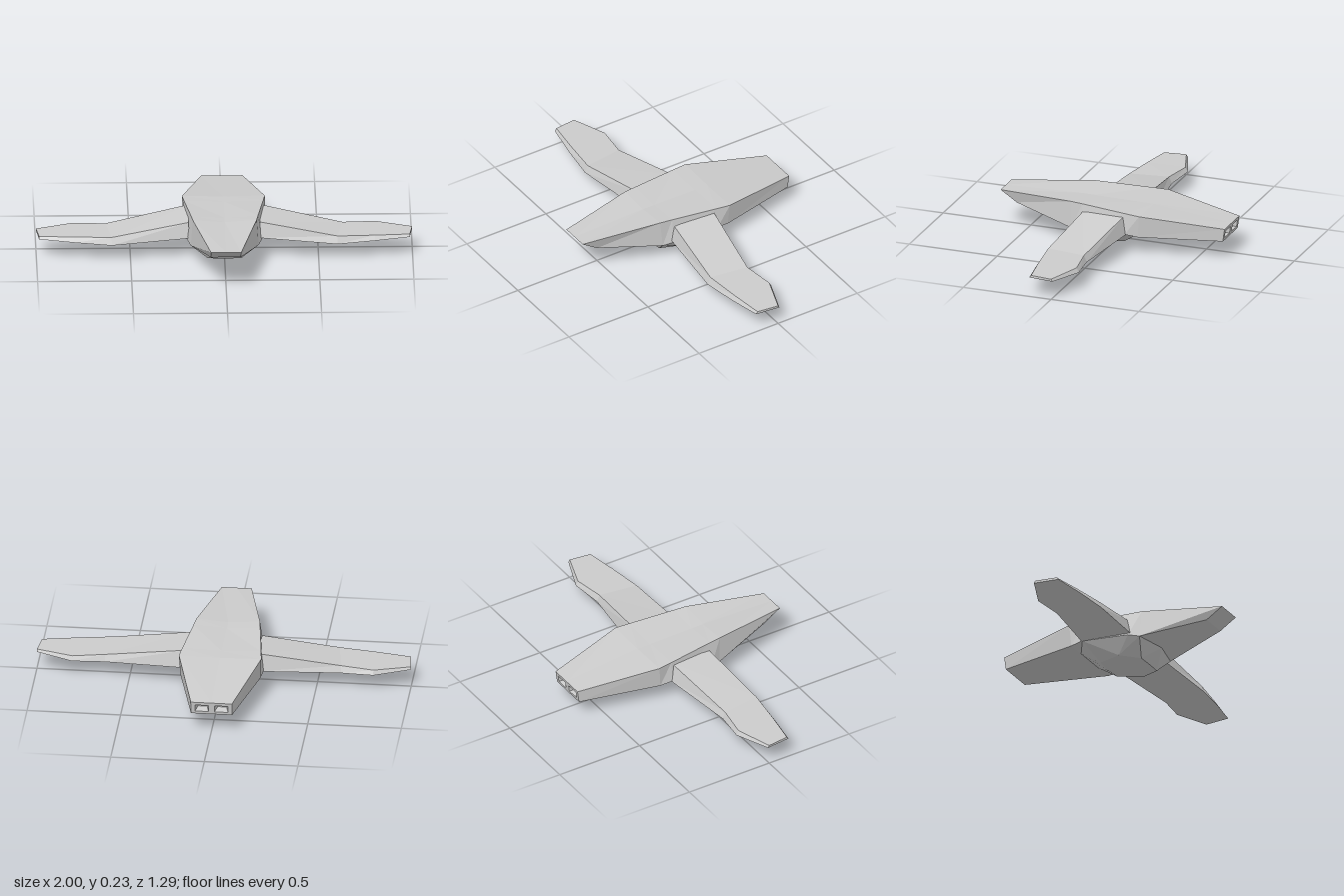
import * as THREE from 'three';
import { ConvexGeometry } from 'three/addons/geometries/ConvexGeometry.js';

const grey = new THREE.MeshStandardMaterial({ color: 0xcccccc, flatShading: true });
const greyDouble = new THREE.MeshStandardMaterial({ color: 0xcccccc, flatShading: true, side: THREE.DoubleSide });

const flipX = ([x, y, z]) => [-x, y, z];

// Flat-shaded skin over rings of [x, y, z] points, with optional end caps
function loft(rings, capStart, capEnd) {
  const pos = [];
  const tri = (a, b, c) => pos.push(...a, ...b, ...c);
  const n = rings[0].length;
  for (let i = 0; i < rings.length - 1; i++) {
    for (let j = 0; j < n; j++) {
      const k = (j + 1) % n;
      const [p, q, r, t] = [rings[i][j], rings[i][k], rings[i + 1][k], rings[i + 1][j]];
      tri(p, q, t);
      tri(q, r, t);
    }
  }
  const first = rings[0], last = rings[rings.length - 1];
  for (let j = 1; j < n - 1; j++) {
    if (capStart) tri(first[0], first[j + 1], first[j]);
    if (capEnd) tri(last[0], last[j], last[j + 1]);
  }
  const geo = new THREE.BufferGeometry();
  geo.setAttribute('position', new THREE.Float32BufferAttribute(pos, 3));
  geo.computeVertexNormals();
  return geo;
}

function addMesh(parent, name, geo, material = grey) {
  const mesh = new THREE.Mesh(geo, material);
  mesh.name = name;
  parent.add(mesh);
  return mesh;
}

// Stern plane leans slightly: z depends on height
const sternZ = (y) => -0.645 + ((0.17 - y) / 0.07) * 0.01;

const rect = (x0, x1, y0, y1, Type) =>
  new Type([[x0, y0], [x1, y0], [x1, y1], [x0, y1]].map((p) => new THREE.Vector2(...p)));

export function createModel() {
  const model = new THREE.Group();
  model.name = 'glider';

  // Fuselage: half sections (top centre, shoulder, lower edge, bottom centre), nose to stern
  const halves = [
    [[0, 0.21, 0.642], [0.08, 0.21, 0.642], [0.08, 0.15, 0.55], [0, 0.15, 0.55]],
    [[0, 0.222, 0.21], [0.17, 0.235, 0.21], [0.18, 0.088, 0.2], [0, 0.085, 0.24]],
    [[0, 0.221, 0.14], [0.178, 0.233, 0.14], [0.2, 0.1, 0.14], [0, 0.085, 0.14]],
    [[0, 0.217, -0.12], [0.211, 0.223, -0.12], [0.224, 0.11, -0.12], [0, 0.1, -0.12]],
    [[0, 0.216, -0.2], [0.22, 0.22, -0.2], [0.213, 0.1, -0.19], [0, 0.1, -0.19]],
    [[0, 0.17, -0.645], [0.11, 0.17, -0.645], [0.11, 0.1, -0.635], [0, 0.1, -0.635]],
  ];
  const hullRings = halves.map((h) => [...h, flipX(h[2]), flipX(h[1])]);
  addMesh(model, 'fuselage', loft(hullRings, true, false));

  // Belly: faceted keel under the wings
  const bellyHalf = [
    [0, 0.085, 0.24], [0.18, 0.088, 0.2], [0.2, 0.1, 0.14], [0.222, 0.11, -0.12], [0, 0.1, -0.19],
    [0.1, 0.1, -0.19], [0, 0, 0.17], [0.09, 0.003, 0.165], [0.15, 0.018, 0.06],
    [0.07, 0.008, -0.01], [0, 0.02, -0.08], [0.1, 0.024, -0.075],
  ];
  const bellyPoints = [...bellyHalf, ...bellyHalf.filter((p) => p[0] > 0).map(flipX)];
  addMesh(model, 'belly', new ConvexGeometry(bellyPoints.map((p) => new THREE.Vector3(...p))));

  // Stern plate with two exhaust openings
  const plate = rect(-0.11, 0.11, 0.1, 0.17, THREE.Shape);
  for (const s of [-1, 1]) {
    plate.holes.push(rect(s * 0.052 - 0.036, s * 0.052 + 0.036, 0.115, 0.153, THREE.Path));
  }
  const plateGeo = new THREE.ShapeGeometry(plate).rotateY(Math.PI);
  const pp = plateGeo.attributes.position;
  for (let i = 0; i < pp.count; i++) pp.setZ(i, sternZ(pp.getY(i)));
  plateGeo.computeVertexNormals();
  addMesh(model, 'sternPlate', plateGeo);

  // Wing sections: top back, top front, bottom front, bottom back
  const wing = [
    [[0.19, 0.205, -0.108], [0.19, 0.193, 0.132], [0.19, 0.11, 0.152], [0.19, 0.11, -0.13]],
    [[0.63, 0.125, -0.045], [0.6, 0.125, 0.17], [0.6, 0.085, 0.187], [0.63, 0.088, -0.06]],
    [[0.805, 0.12, -0.07], [0.8, 0.12, 0.147], [0.8, 0.094, 0.163], [0.805, 0.095, -0.083]],
    [[1, 0.115, 0], [0.985, 0.115, 0.12], [0.985, 0.102, 0.13], [1, 0.102, -0.008]],
  ];

  for (const [side, s] of [['left', 1], ['right', -1]]) {
    const rings = s > 0 ? wing : wing.map((r) => r.map(flipX).reverse());
    addMesh(model, side + 'Wing', loft(rings, true, true));

    // Exhaust: tapered recess behind the opening
    const cx = s * 0.052;
    const opening = (hw, y0, y1, depth) =>
      [[-hw, y0], [hw, y0], [hw, y1], [-hw, y1]].map(([x, y]) => [cx + x, y, sternZ(y) + depth]);
    const recess = loft([opening(0.036, 0.115, 0.153, 0), opening(0.024, 0.122, 0.147, 0.05)], false, true);
    addMesh(model, side + 'Exhaust', recess, greyDouble);
  }
  return model;
}
